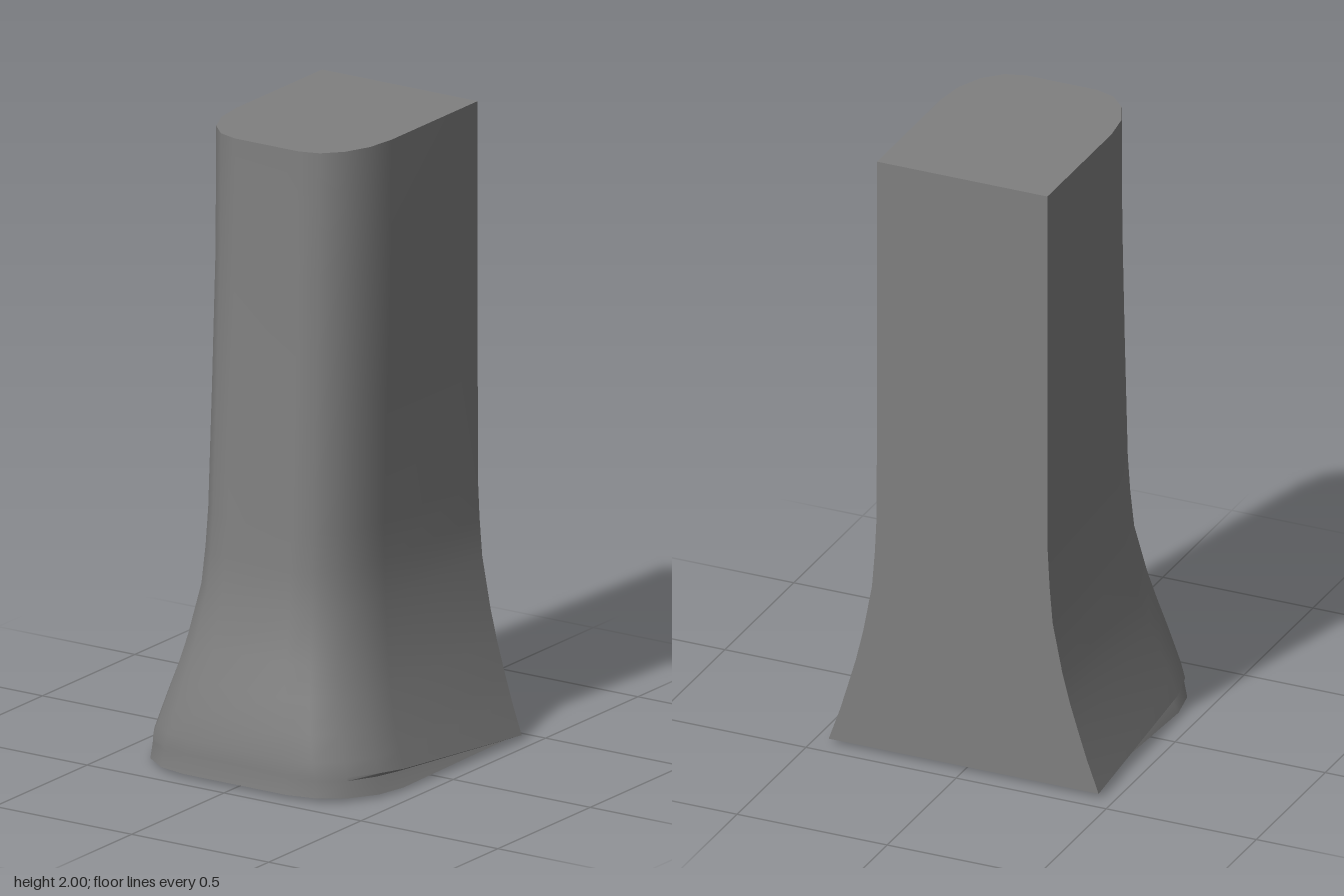
import * as THREE from 'three';
import { toCreasedNormals } from 'three/addons/utils/BufferGeometryUtils.js';

const BACK = -0.445;
// [height, half width, front z]
const PROFILE = [
  [2, 0.284, 0.276], [1.6, 0.284, 0.28], [1.2, 0.284, 0.298], [0.8, 0.285, 0.318],
  [0.68, 0.291, 0.325], [0.56, 0.301, 0.335], [0.4, 0.332, 0.37], [0.3, 0.357, 0.396],
  [0.2, 0.387, 0.42], [0.12, 0.412, 0.435], [0, 0.455, 0.443],
];

// Half width and front depth at a height
function sizeAt(y) {
  const i = Math.max(1, PROFILE.findIndex((p) => p[0] <= y));
  const [a, b] = [PROFILE[i - 1], PROFILE[i]];
  const t = (y - a[0]) / (b[0] - a[0]);
  return [THREE.MathUtils.lerp(a[1], b[1], t), THREE.MathUtils.lerp(a[2], b[2], t)];
}

// D-shaped section: square back, rounded front; from back left round to back right
function section(w, front, cornerX, cornerZ, heightAt, widthAt, back = BACK, backW = w) {
  const half = [[backW, back]];
  for (let k = 0; k <= 4; k++) {
    const a = (k / 4) * Math.PI / 2;
    half.push([w - cornerX * (1 - Math.cos(a)), front - cornerZ * (1 - Math.sin(a))]);
  }
  const left = half.map(([x, z]) => {
    const y = heightAt(z);
    return new THREE.Vector3(widthAt ? x * widthAt(y) / w : x, y, z);
  });
  const right = left.map((p) => new THREE.Vector3(-p.x, p.y, p.z)).reverse();
  return [...left, ...right];
}

// Skin a stack of rings, top to bottom, with both ends capped
function loft(rings) {
  const pos = [];
  const tri = (...pts) => pts.forEach((p) => pos.push(p.x, p.y, p.z));
  const centre = (r) => r.reduce((s, p) => s.add(p), new THREE.Vector3()).divideScalar(r.length);
  const n = rings[0].length;
  const last = rings[rings.length - 1];
  const [topC, botC] = [centre(rings[0]), centre(last)];
  for (let i = 0; i < n; i++) {
    const k = (i + 1) % n;
    for (let j = 0; j < rings.length - 1; j++) {
      const [u, l] = [rings[j], rings[j + 1]];
      tri(l[k], l[i], u[i]);
      tri(l[k], u[i], u[k]);
    }
    tri(topC, rings[0][k], rings[0][i]);
    tri(botC, last[i], last[k]);
  }
  const g = new THREE.BufferGeometry();
  g.setAttribute('position', new THREE.Float32BufferAttribute(pos, 3));
  return toCreasedNormals(g, 0.65);
}

export function createModel() {
  const group = new THREE.Group();
  group.name = 'flaredPost';

  // Shaft and flare, the shaft standing a touch to the left of the foot
  const rings = PROFILE.slice(0, -1).map(([y, w, f]) => {
    const t = THREE.MathUtils.clamp((w - 0.284) / 0.15, 0, 1);
    const ring = section(w, f, w * 0.59, 0.255 + 0.018 * t, () => y);
    ring.forEach((p) => { p.x += 0.005 * (1 - t); });
    return ring;
  });

  // Sloping crease where the flare ends, lower towards the back
  const creaseY = (z) => 0.015 + 0.06 * Math.min(1, (z - BACK) / 0.725);
  const [w, f] = sizeAt(0.075);
  const crease = section(w, f, w * 0.58, 0.272, creaseY, (y) => sizeAt(y)[0]);

  // Narrow ledge tucked under the crease along the sides, fading out at the front
  const ledge = crease.map((p) => {
    const inset = 0.022 * THREE.MathUtils.clamp((0.32 - p.z) / 0.12, 0, 1);
    const atBack = p.z === BACK;
    return new THREE.Vector3(
      p.x - Math.sign(p.x) * inset, p.y - (atBack ? 0.005 : 0.012), p.z + (atBack ? 0.05 : 0));
  });

  // Rim of the foot, drawn in at the back
  const rim = section(0.433, 0.443, 0.245, 0.272,
    (z) => 0.012 * (z + 0.28) / 0.723, null, -0.28, 0.405);
  rings.push(crease, ledge, rim);

  const post = new THREE.Mesh(loft(rings), new THREE.MeshStandardMaterial({ color: 0x808080 }));
  post.name = 'post';
  group.add(post);
  return group;
}
